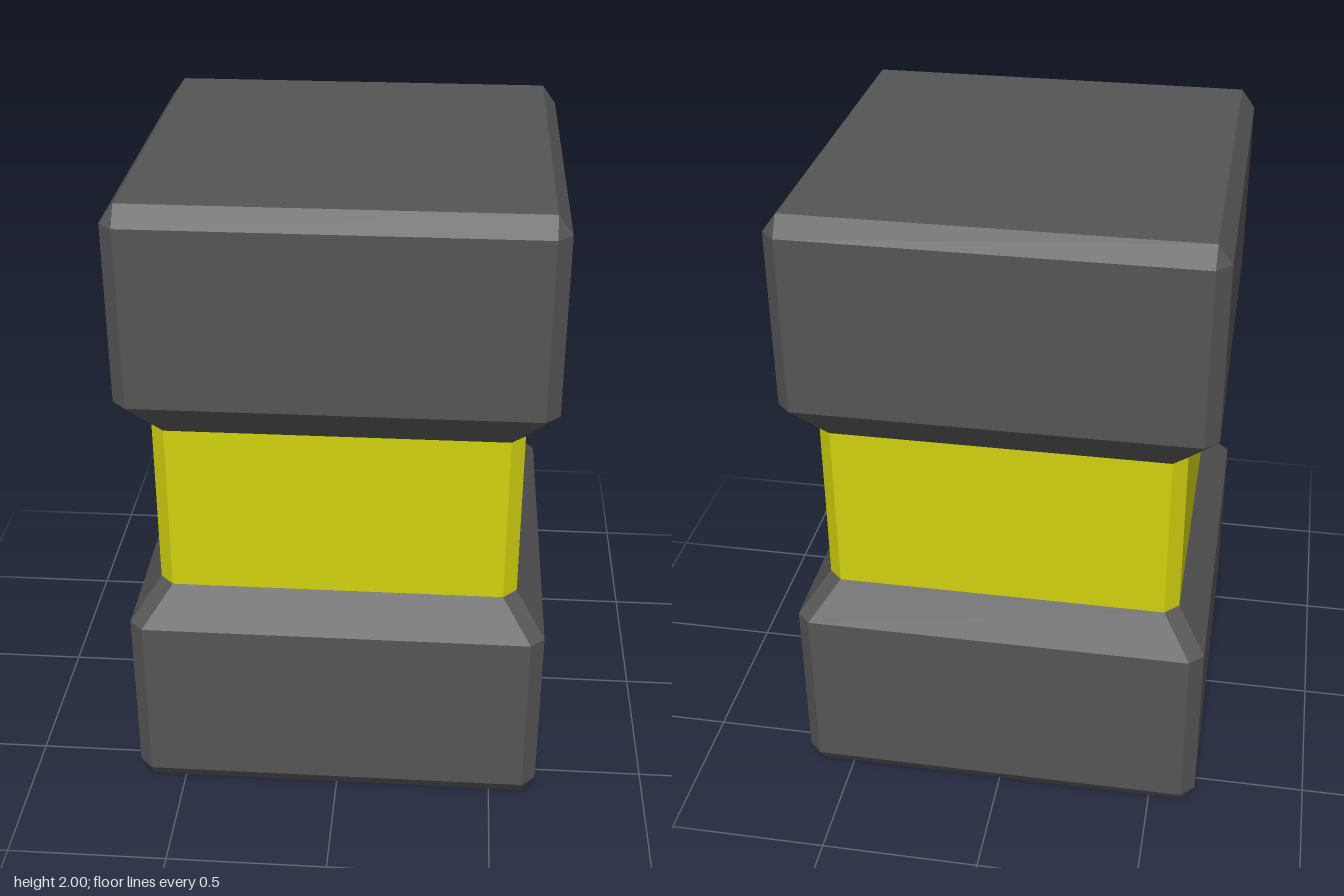
import * as THREE from 'three';

// Square outline with cut corners: h = half width, f = half length of the flat side
function ring([y, h, f]) {
  const outline = [[h, f], [f, h], [-f, h], [-h, f], [-h, -f], [-f, -h], [f, -h], [h, -f]];
  return outline.map(([x, z]) => new THREE.Vector3(x, y, -z));
}

// Solid skinned over rings listed from bottom to top, capped at both ends
function loft(sections) {
  const rings = sections.map(ring);
  const points = [];
  const tri = (a, b, c) => {
    if (new THREE.Triangle(a, b, c).getArea() > 1e-7) points.push(a, b, c);
  };
  for (let i = 0; i < rings.length - 1; i++) {
    const lo = rings[i], hi = rings[i + 1];
    for (let j = 0; j < 8; j++) {
      const k = (j + 1) % 8;
      tri(lo[j], lo[k], hi[k]);
      tri(lo[j], hi[k], hi[j]);
    }
  }
  const bottom = rings[0], top = rings[rings.length - 1];
  for (let j = 1; j < 7; j++) {
    tri(top[0], top[j], top[j + 1]);
    tri(bottom[0], bottom[j + 1], bottom[j]);
  }
  const geometry = new THREE.BufferGeometry().setFromPoints(points);
  geometry.computeVertexNormals();
  return geometry;
}

export function createModel() {
  const group = new THREE.Group();
  const dark = new THREE.MeshStandardMaterial({ color: 0x555555, flatShading: true });
  const yellow = new THREE.MeshStandardMaterial({ color: 0xd2d20f, flatShading: true });

  const add = (name, sections, material) => {
    const mesh = new THREE.Mesh(loft(sections), material);
    mesh.name = name;
    group.add(mesh);
  };

  // Bevelled end blocks, the upper one mirrored about mid height
  const block = [
    [0, 0.605, 0.605],
    [0.058, 0.648, 0.605],
    [0.61, 0.648, 0.605],
    [0.727, 0.558, 0.515],
  ];
  add('lowerBlock', block, dark);
  add('upperBlock', block.map(([y, h, f]) => [2 - y, h, f]).reverse(), dark);

  // Narrower coloured middle
  add('middleBand', [[0.727, 0.558, 0.515], [1.273, 0.558, 0.515]], yellow);

  return group;
}
